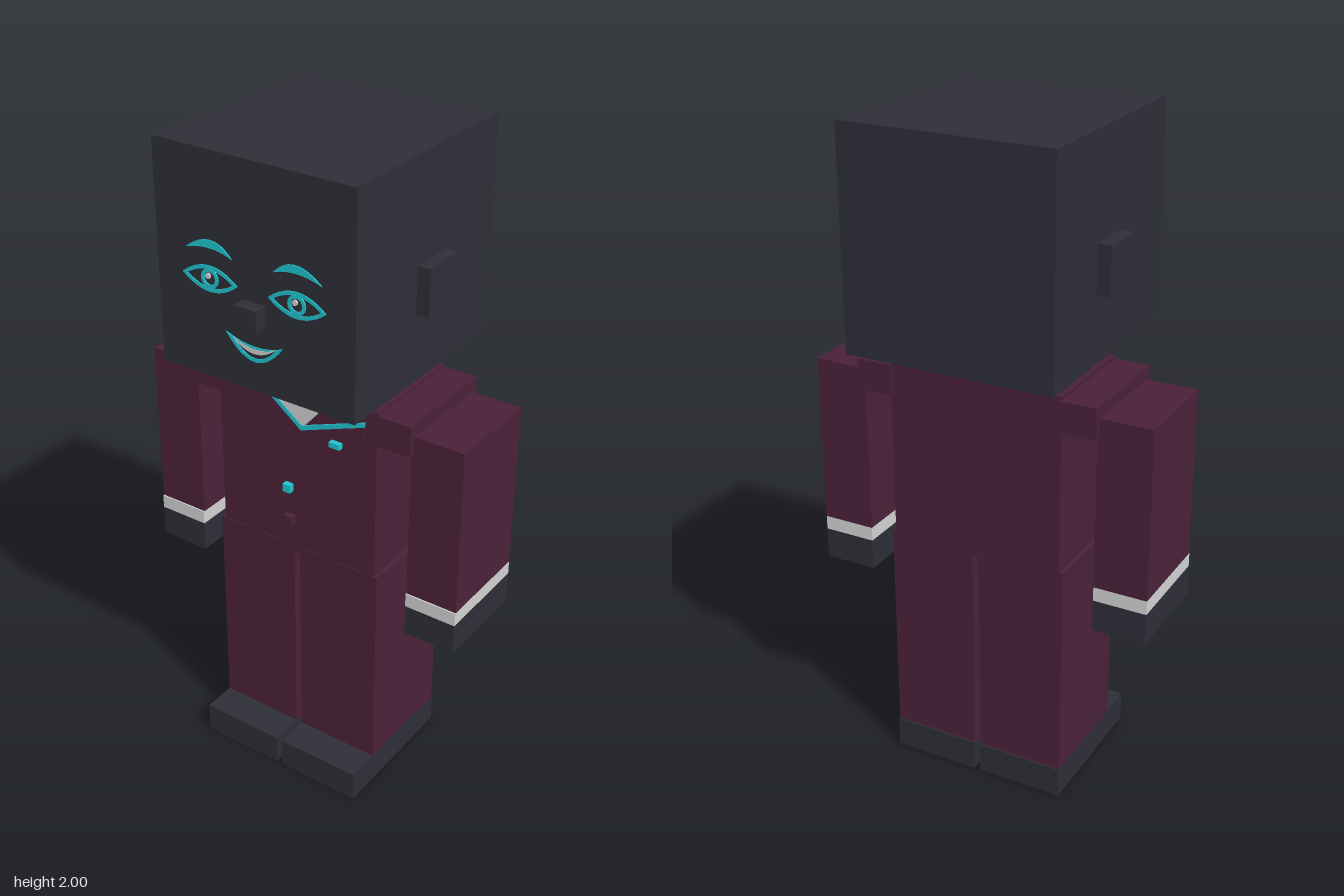
import * as THREE from 'three';

const mat = (name, color) => {
  const m = new THREE.MeshStandardMaterial({ color });
  m.name = name;
  return m;
};

export function createModel() {
  const charcoal = mat('charcoal', 0x2d2e37);
  const plum = mat('plum', 0x4a2139);
  const cyan = mat('cyan', 0x20c5d0);
  const white = mat('white', 0xd2d2d2);
  const model = new THREE.Group();
  model.name = 'suitedFigure';

  const add = (name, geometry, material) => {
    const mesh = new THREE.Mesh(geometry, material);
    mesh.name = name;
    model.add(mesh);
    return mesh;
  };

  // Box given by its limits on each axis
  const box = (name, material, [x0, x1], [y0, y1], [z0, z1]) => {
    const mesh = add(name, new THREE.BoxGeometry(x1 - x0, y1 - y0, z1 - z0), material);
    mesh.position.set((x0 + x1) / 2, (y0 + y1) / 2, (z0 + z1) / 2);
  };
  const pair = (name, material, [x0, x1], y, z) => {
    box('left' + name, material, [x0, x1], y, z);
    box('right' + name, material, [-x1, -x0], y, z);
  };

  // Thin plate whose back lies at z
  const plate = (name, material, shape, z, depth = 0.003) => {
    const geometry = new THREE.ExtrudeGeometry(shape, { depth, bevelEnabled: false, curveSegments: 12 });
    add(name, geometry.translate(0, 0, z), material);
  };
  const polygon = (pts) => new THREE.Shape(pts.map(([x, y]) => new THREE.Vector2(x, y)));

  // Area between two bowed curves that share their end corners
  const lens = (cx, cy, w, top, bottom, Type = THREE.Shape) => {
    const s = new Type();
    s.moveTo(cx - w, cy);
    s.quadraticCurveTo(cx, cy + 2 * bottom, cx + w, cy);
    s.quadraticCurveTo(cx, cy + 2 * top, cx - w, cy);
    return s;
  };
  const disc = (cx, cy, r, Type = THREE.Shape) => {
    const s = new Type();
    s.absarc(cx, cy, r, 0, Math.PI * 2, false);
    return s;
  };

  // Head, ears, nose and neck
  box('head', charcoal, [-0.314, 0.314], [1.363, 2], [-0.352, 0.309]);
  pair('Ear', charcoal, [0.312, 0.353], [1.56, 1.7], [-0.108, 0.029]);
  box('nose', charcoal, [-0.036, 0.036], [1.56, 1.62], [0.307, 0.35]);
  box('neck', charcoal, [-0.087, 0.087], [1.29, 1.37], [-0.13, 0.057]);

  // Eyes and brows
  const face = 0.309;
  for (const [side, cx] of [['left', 0.137], ['right', -0.14]]) {
    const rim = lens(cx, 1.65, 0.09, 0.037, -0.037);
    rim.holes.push(lens(cx, 1.65, 0.074, 0.026, -0.026, THREE.Path));
    plate(side + 'EyeRim', cyan, rim, face);

    const iris = disc(cx, 1.651, 0.028);
    iris.holes.push(disc(cx, 1.651, 0.018, THREE.Path));
    plate(side + 'Iris', cyan, iris, face, 0.004);
    plate(side + 'EyeGlint', white, disc(cx - 0.005, 1.657, 0.008), face, 0.005);

    const sign = Math.sign(cx);
    const brow = new THREE.Shape();
    brow.moveTo(cx - sign * 0.073, 1.722);
    brow.quadraticCurveTo(cx - sign * 0.01, 1.795, cx + sign * 0.077, 1.722);
    brow.quadraticCurveTo(cx - sign * 0.005, 1.75, cx - sign * 0.073, 1.722);
    plate(side + 'Brow', cyan, brow, face);
  }

  // Smile with a row of teeth
  const lips = lens(0, 1.514, 0.092, -0.02, -0.064);
  lips.holes.push(lens(0, 1.505, 0.07, -0.017, -0.045, THREE.Path));
  plate('lips', cyan, lips, face);
  plate('teeth', white, lens(0, 1.505, 0.07, -0.017, -0.031), face, 0.004);

  // Torso and shoulders
  box('torso', plum, [-0.267, 0.267], [0.755, 1.3], [-0.208, 0.131]);
  pair('Shoulder', plum, [0.26, 0.372], [1.197, 1.29], [-0.213, 0.13]);

  // Arms: sleeve, cuff, hand
  const armX = [0.365, 0.527];
  pair('Sleeve', plum, armX, [0.738, 1.253], [-0.19, 0.113]);
  pair('Cuff', white, armX, [0.695, 0.738], [-0.19, 0.117]);
  pair('Hand', charcoal, armX, [0.6, 0.695], [-0.19, 0.117]);

  // Legs, hip bridge and shoes
  const legX = [0.01, 0.278];
  pair('Leg', plum, legX, [0.09, 0.765], [-0.208, 0.134]);
  box('hips', plum, [-0.1, 0.1], [0.745, 0.765], [-0.207, 0.133]);
  pair('Shoe', charcoal, legX, [0, 0.095], [-0.213, 0.239]);

  // Jacket front, lapels and shirt
  const chest = 0.131;
  plate('jacketFront', plum, polygon([
    [-0.25, 1.25], [-0.24, 0.815], [0.03, 0.768], [0.23, 0.81], [0.23, 1.25], [0.02, 1.17], [-0.13, 1.28],
  ]), chest, 0.002);
  plate('lapels', plum, polygon([
    [-0.25, 1.23], [-0.08, 1.065], [0.03, 1.135], [0.23, 1.205], [0.23, 1.255],
    [0.02, 1.172], [-0.13, 1.285], [-0.18, 1.285],
  ]), chest, 0.004);
  plate('shirt', white, polygon([[-0.135, 1.29], [0.02, 1.172], [0.128, 1.297], [-0.12, 1.297]]), chest, 0.003);
  plate('rightCollar', white, polygon([[-0.1, 1.297], [-0.09, 1.245], [-0.015, 1.25], [-0.01, 1.297]]), chest, 0.004);
  plate('leftCollar', white, polygon([[0.02, 1.297], [0, 1.25], [0.06, 1.225], [0.125, 1.297]]), chest, 0.004);
  plate('lapelPiping', cyan, polygon([
    [-0.137, 1.284], [0.018, 1.165], [0.23, 1.245], [0.23, 1.259], [0.021, 1.181], [-0.122, 1.288],
  ]), chest, 0.005);

  // Pocket pin and buttons stand off the chest
  box('pocketPin', cyan, [0.157, 0.192], [1.191, 1.207], [0.184, 0.2]);
  box('upperButton', cyan, [-0.005, 0.02], [0.987, 1.012], [0.176, 0.194]);
  box('lowerButton', plum, [-0.006, 0.021], [0.876, 0.903], [0.17, 0.189]);

  return model;
}
